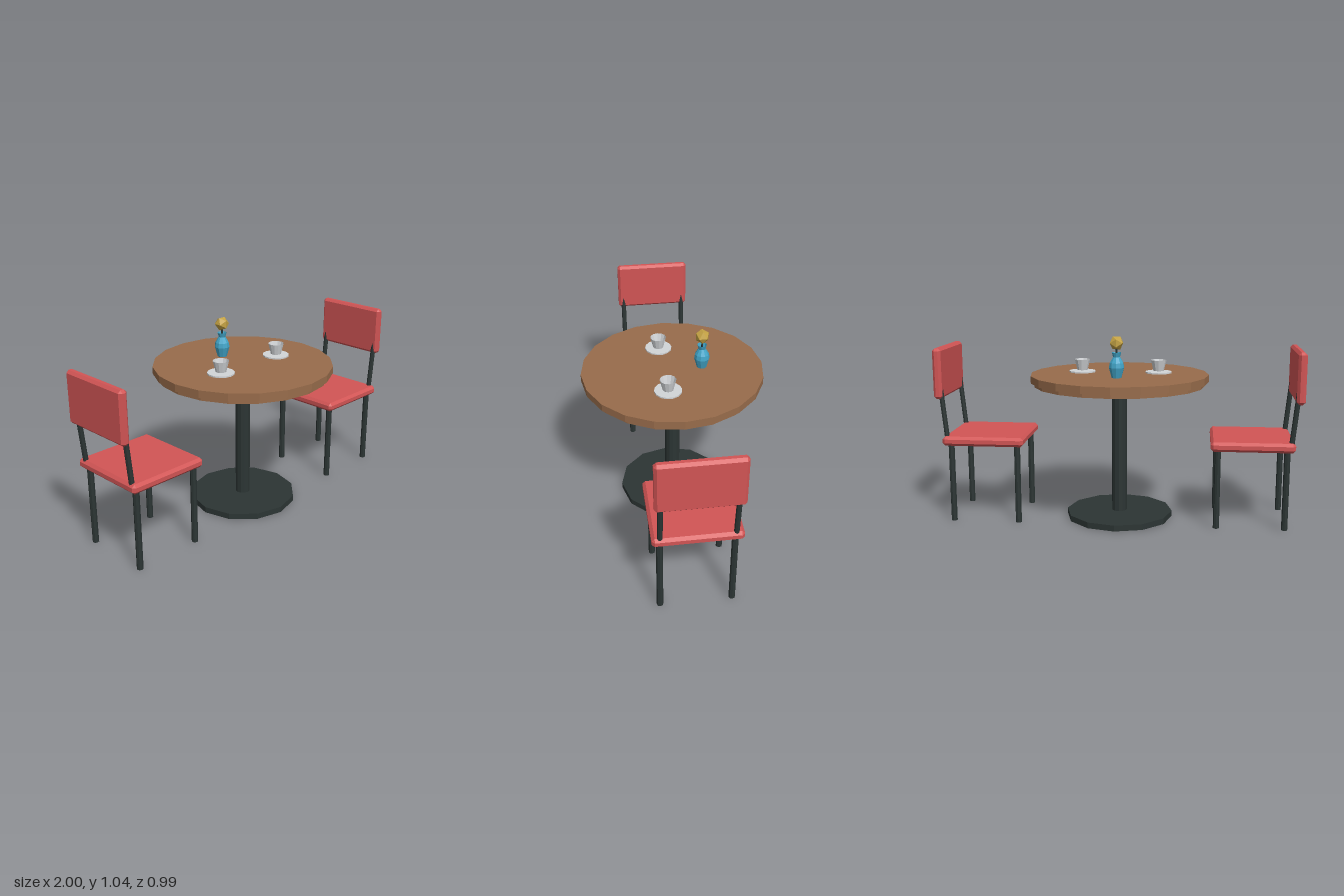
import * as THREE from 'three';
import { ConvexGeometry } from 'three/addons/geometries/ConvexGeometry.js';

const flat = (name, color, side = THREE.FrontSide) => {
  const m = new THREE.MeshStandardMaterial({ color, side, flatShading: true });
  m.name = name;
  return m;
};

// Box with every edge chamfered by c
function chamferBox(w, h, d, c) {
  const pts = [];
  for (const sx of [-1, 1]) for (const sy of [-1, 1]) for (const sz of [-1, 1]) {
    const [x, y, z] = [w / 2, h / 2, d / 2];
    pts.push(
      new THREE.Vector3(sx * x, sy * (y - c), sz * (z - c)),
      new THREE.Vector3(sx * (x - c), sy * y, sz * (z - c)),
      new THREE.Vector3(sx * (x - c), sy * (y - c), sz * z));
  }
  return new ConvexGeometry(pts);
}

function add(parent, name, geometry, material, x = 0, y = 0, z = 0) {
  const mesh = new THREE.Mesh(geometry, material);
  mesh.name = name;
  mesh.position.set(x, y, z);
  parent.add(mesh);
  return mesh;
}

// Upright cylinder between two heights
function disc(parent, name, material, r, y0, y1, sides, x = 0, z = 0) {
  return add(parent, name, new THREE.CylinderGeometry(r, r, y1 - y0, sides), material, x, (y0 + y1) / 2, z);
}

// Straight rod between two points
function rod(parent, name, material, a, b, r) {
  const dir = b.clone().sub(a);
  const mesh = add(parent, name, new THREE.CylinderGeometry(r, r, dir.length(), 8), material);
  mesh.position.copy(a).add(b).multiplyScalar(0.5);
  mesh.quaternion.setFromUnitVectors(new THREE.Vector3(0, 1, 0), dir.normalize());
}

const lathe = (pts, sides) => new THREE.LatheGeometry(pts.map(p => new THREE.Vector2(...p)), sides);

export function createModel() {
  const model = new THREE.Group();
  model.name = 'cafeTableSet';
  const red = flat('redUpholstery', 0xd25555);
  const wood = flat('wood', 0x986c4b);
  const metal = flat('darkMetal', 0x2c3534);
  const china = flat('whiteChina', 0xd2d5d8, THREE.DoubleSide);
  const blue = flat('blueGlaze', 0x42a5c8, THREE.DoubleSide);
  const gold = flat('yellowFlower', 0xc4a244);

  // Table
  const table = new THREE.Group();
  table.name = 'table';
  model.add(table);
  disc(table, 'tableTop', wood, 0.495, 0.78, 0.82, 20);
  disc(table, 'tableTopRim', wood, 0.475, 0.758, 0.78, 20);
  disc(table, 'tableColumn', metal, 0.042, 0.03, 0.76, 12);
  disc(table, 'tableBase', metal, 0.3, 0, 0.033, 12);

  // Two mirrored chairs facing the table
  const seatGeo = chamferBox(0.45, 0.052, 0.45, 0.015);
  const backGeo = chamferBox(0.047, 0.277, 0.43, 0.014);
  for (const s of [1, -1]) {
    const chair = new THREE.Group();
    chair.name = s > 0 ? 'leftChair' : 'rightChair';
    chair.rotation.y = s > 0 ? 0 : Math.PI;
    model.add(chair);
    add(chair, 'seat', seatGeo, red, 0.735, 0.461, 0);
    add(chair, 'backrest', backGeo, red, 0.9765, 0.8325, 0);
    for (const z of [-0.185, 0.185]) {
      disc(chair, 'frontLeg', metal, 0.017, 0, 0.445, 8, 0.549, z);
      disc(chair, 'rearLeg', metal, 0.017, 0, 0.445, 8, 0.918, z);
      rod(chair, 'backPost', metal, new THREE.Vector3(0.937, 0.45, z), new THREE.Vector3(0.985, 0.945, z), 0.014);
    }
  }

  // Cups on saucers
  const cupGeo = lathe([[0, 0.005], [0.029, 0.005], [0.044, 0.065]], 12);
  for (const s of [1, -1]) {
    const setting = new THREE.Group();
    setting.name = s > 0 ? 'leftCupSet' : 'rightCupSet';
    setting.position.set(s * 0.215, 0.82, 0.05);
    model.add(setting);
    disc(setting, 'saucer', china, 0.074, 0, 0.008, 14);
    add(setting, 'cup', cupGeo, china, 0, 0.007, 0);
  }

  // Vase with a single flower
  const vase = new THREE.Group();
  vase.name = 'flowerVase';
  vase.position.set(0, 0.82, -0.162);
  model.add(vase);
  add(vase, 'vase', lathe([[0, 0], [0.027, 0], [0.042, 0.055], [0.038, 0.08], [0.019, 0.112], [0.026, 0.136]], 10), blue);
  disc(vase, 'stem', metal, 0.005, 0.02, 0.17, 6);
  add(vase, 'flower', new THREE.IcosahedronGeometry(0.04, 0), gold, 0, 0.187, 0);

  return model;
}
